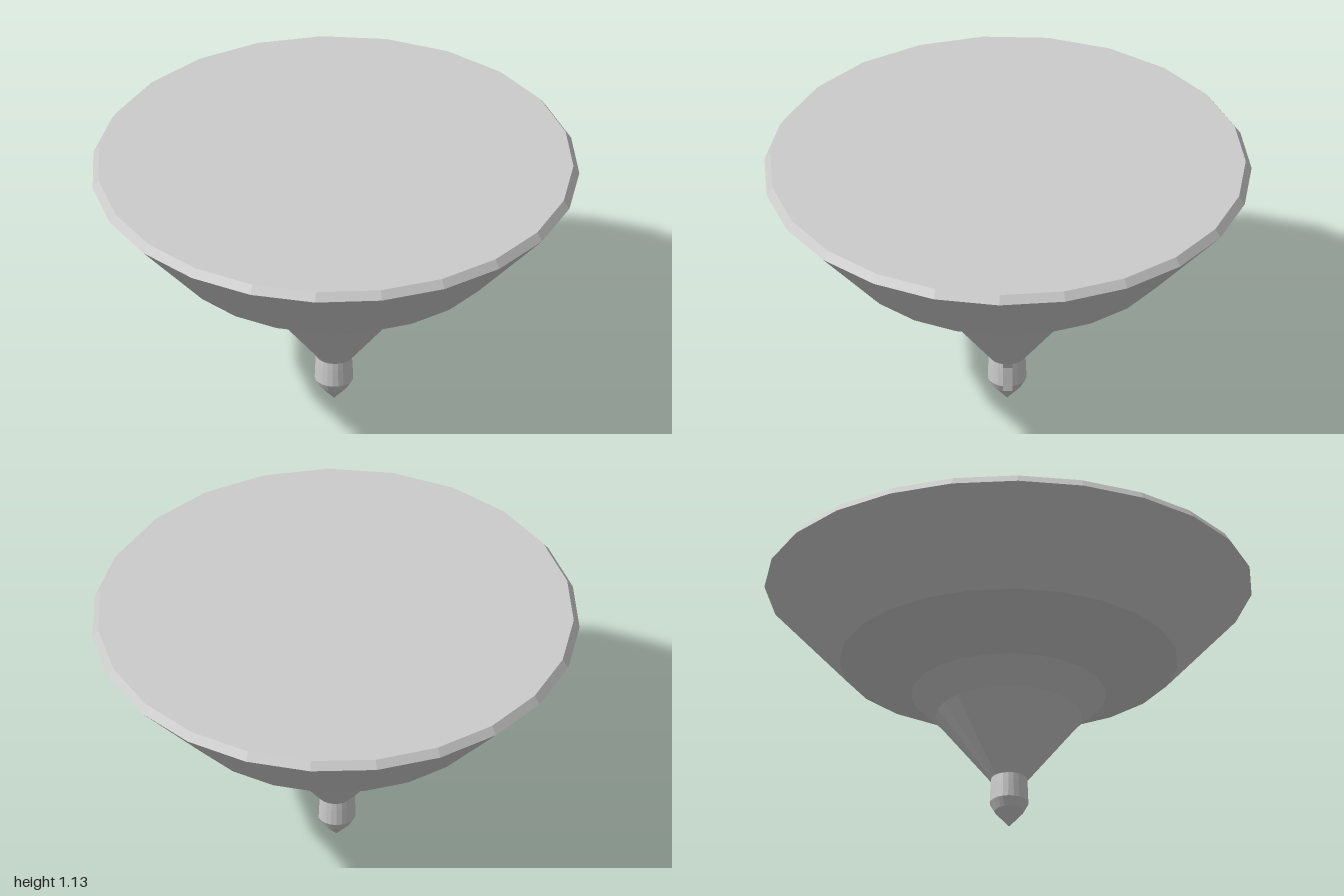
import * as THREE from 'three';

const SIDES = 23;
const material = new THREE.MeshStandardMaterial({ color: 0xcccccc, flatShading: true });

// Closed faceted body turned around the y axis, one corner pointing back
function turned(name, profile) {
  const points = profile.map(([r, y]) => new THREE.Vector2(r, y));
  const mesh = new THREE.Mesh(new THREE.LatheGeometry(points, SIDES, Math.PI), material);
  mesh.name = name;
  return mesh;
}

// Pointed tip: stacked round rings with a narrow groove cut in the +x side
function groovedTip() {
  const sides = 20, halfWidth = 0.02;
  // [y, radius, groove floor x]
  const rings = [
    [0, 0, 0],
    [0.068, 0.06, 0.0566],
    [0.105, 0.08, 0.056],
    [0.18, 0.077, 0.056],
    [0.212, 0.075, 0.07],
  ];
  const position = [], index = [];
  for (const [y, r, floor] of rings) {
    const w = r > 0 ? halfWidth : 0;
    const gap = r > 0 ? Math.asin(w / r) : 0;
    for (let j = 0; j <= sides; j++) {
      const a = gap + (2 * Math.PI - 2 * gap) * j / sides;
      position.push(r * Math.cos(a), y, r * Math.sin(a));
    }
    position.push(floor, y, -w, floor, y, w);
  }
  const n = sides + 3;
  for (let i = 0; i < rings.length - 1; i++) {
    for (let j = 0; j < n; j++) {
      const a = i * n + j, b = i * n + (j + 1) % n;
      if (i > 0) index.push(a, b + n, b);
      index.push(a, a + n, b + n);
    }
  }
  const geometry = new THREE.BufferGeometry();
  geometry.setAttribute('position', new THREE.Float32BufferAttribute(position, 3));
  geometry.setIndex(index);
  geometry.computeVertexNormals();
  const mesh = new THREE.Mesh(geometry, material);
  mesh.name = 'groovedTip';
  return mesh;
}

export function createModel() {
  const group = new THREE.Group();
  group.name = 'spinningTop';

  // Flared body with a thin bevelled rim and a flat top
  const body = turned('body', [
    [0, 0.212], [0.075, 0.212], [0.30, 0.50], [0.40, 0.60],
    [0.695, 0.755], [1.002, 1.10], [0.978, 1.135], [0, 1.135],
  ]);
  body.position.z = 0.005;
  group.add(body);

  // Spinning point
  const tip = groovedTip();
  tip.position.set(-0.004, 0, 0.006);
  group.add(tip);

  return group;
}
